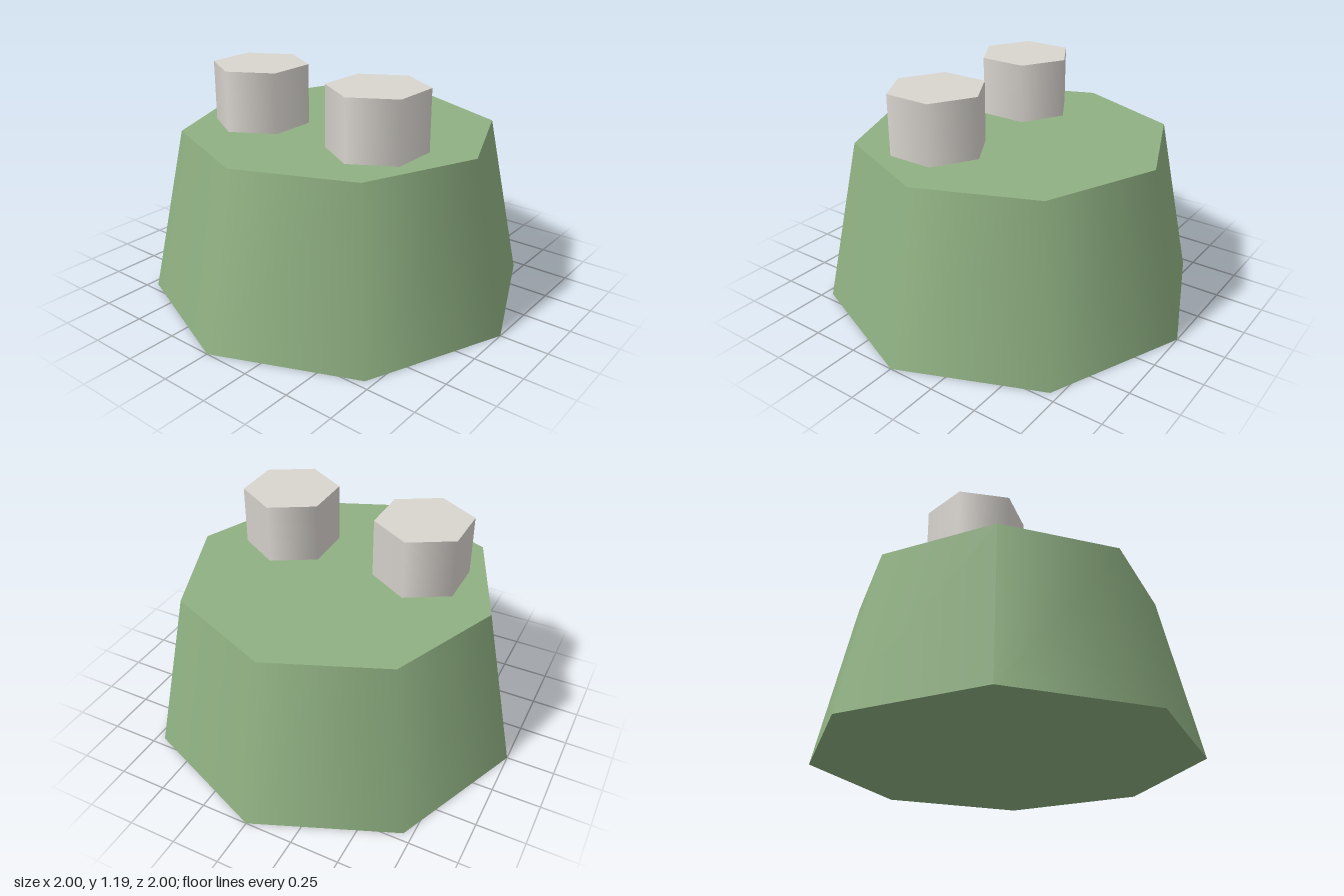
import * as THREE from 'three';

export function createModel() {
  const model = new THREE.Group();
  const green = new THREE.MeshStandardMaterial({ color: 0x8fb082 });
  const pale = new THREE.MeshStandardMaterial({ color: 0xd9d5cf });

  // Tapered prism with smooth sides, standing on the given base height
  const addPrism = (name, material, topR, bottomR, sides, base, top, x, z) => {
    const geometry = new THREE.CylinderGeometry(topR, bottomR, top - base, sides);
    const mesh = new THREE.Mesh(geometry, material);
    mesh.name = name;
    mesh.position.set(x, (base + top) / 2, z);
    model.add(mesh);
  };

  // Eight-sided body
  addPrism('body', green, 0.8125, 1, 8, 0, 0.875, 0, 0);

  // Pair of six-sided pegs, set slightly into the body
  for (const [name, side] of [['leftPeg', 1], ['rightPeg', -1]]) {
    addPrism(name, pale, 0.25, 0.25, 6, 0.85, 1.1875, side * 0.375, 0.1875);
  }

  return model;
}
